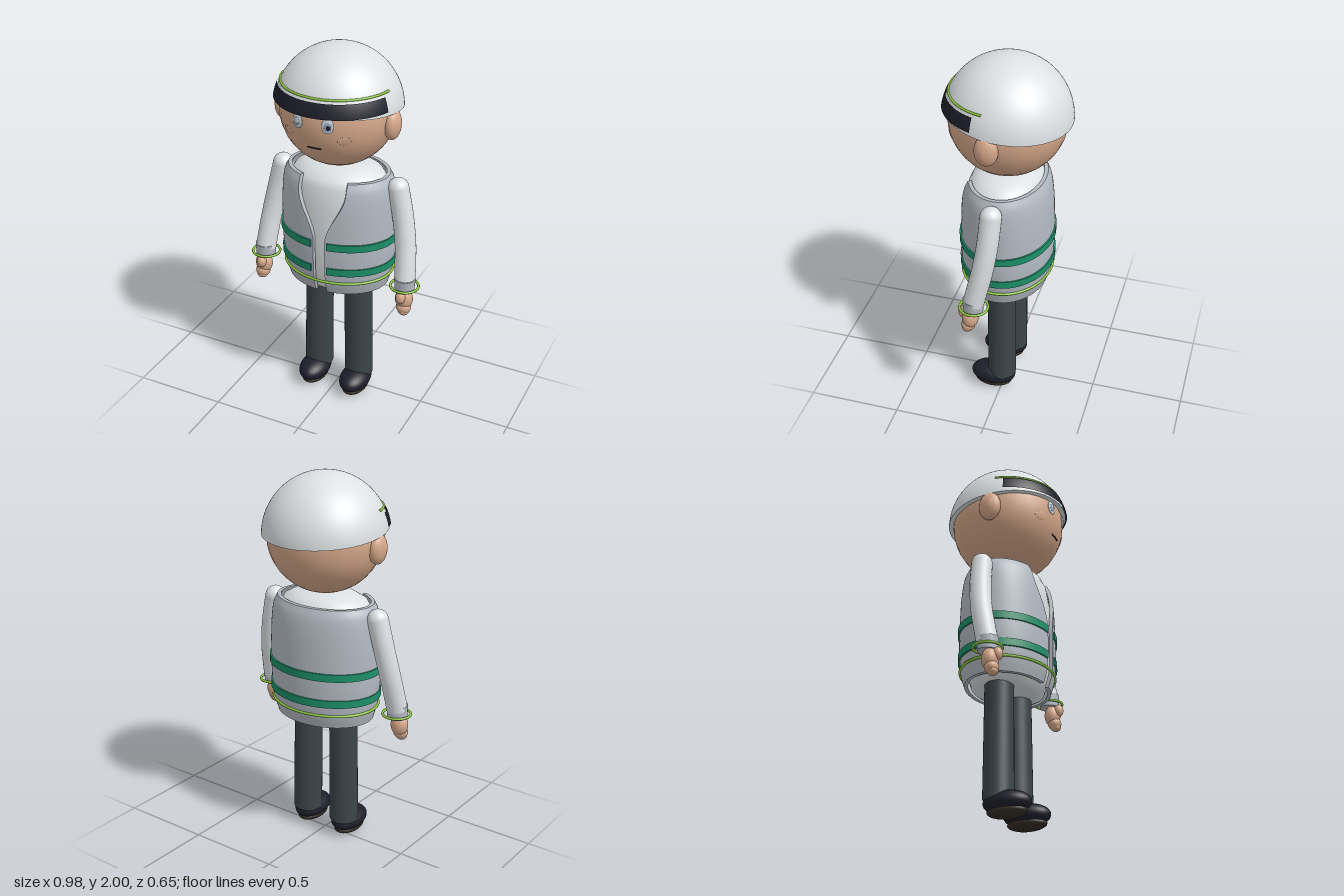
import * as THREE from 'three';
import { toCreasedNormals } from 'three/addons/utils/BufferGeometryUtils.js';

const paint = (name, color, side = THREE.FrontSide) => {
  const m = new THREE.MeshStandardMaterial({ color, side });
  m.name = name;
  return m;
};

// Open-fronted elliptical shell: rows are [rx, rz, y], gap(y) is the half width of the front opening
function shell(rows, gap, thick, steps = 64) {
  const grid = (inset) => rows.map(([rx, rz, y]) => {
    const g = Math.asin(gap(y) / rx);
    return Array.from({ length: steps + 1 }, (_, j) => {
      const t = g + (2 * Math.PI - 2 * g) * j / steps;
      return [(rx - inset) * Math.sin(t), y, (rz - inset) * Math.cos(t)];
    });
  });
  const outer = grid(0), inner = grid(thick), pos = [];
  const quad = (a, b, c, d) => pos.push(...a, ...b, ...c, ...a, ...c, ...d);
  const loop = [...outer, ...inner.reverse()];
  loop.forEach((row, i) => {
    const next = loop[(i + 1) % loop.length];
    for (let j = 0; j < steps; j++) quad(row[j], row[j + 1], next[j + 1], next[j]);
  });
  inner.reverse();
  for (let i = 0; i < rows.length - 1; i++) {
    quad(outer[i][0], outer[i + 1][0], inner[i + 1][0], inner[i][0]);
    quad(inner[i][steps], inner[i + 1][steps], outer[i + 1][steps], outer[i][steps]);
  }
  const geo = new THREE.BufferGeometry();
  geo.setAttribute('position', new THREE.Float32BufferAttribute(pos, 3));
  return toCreasedNormals(geo, 0.7);
}

export function createModel() {
  const model = new THREE.Group();
  model.name = 'worker';
  const white = paint('white', 0xdde1e3, THREE.DoubleSide);
  const grey = paint('vest grey', 0xb3bac2);
  const navy = paint('navy', 0x1f1f2c, THREE.DoubleSide);
  const skin = paint('skin', 0xd6a88a);
  const green = paint('green', 0x1c9068);
  const lime = paint('lime', 0x8cc83c);
  const slate = paint('trouser slate', 0x3c4549);
  const brown = paint('sole brown', 0x332d24);
  const eyeWhite = paint('eye white', 0xc9d3dd);
  const iris = paint('iris blue', 0x8fa3b8);

  const add = (name, geo, mat, x = 0, y = 0, z = 0, parent = model) => {
    const m = new THREE.Mesh(geo, mat);
    m.name = name;
    m.position.set(x, y, z);
    parent.add(m);
    return m;
  };
  const ball = (name, mat, x, y, z, rx, ry = rx, rz = rx) =>
    add(name, new THREE.SphereGeometry(1, 32, 20).scale(rx, ry, rz), mat, x, y, z);

  // Head and face
  const headY = 1.68, headR = 0.3;
  ball('head', skin, 0, headY, 0, headR);
  const onFace = (name, mat, x, y, lift, rx, ry, rz) => {
    const z = Math.sqrt(headR ** 2 - x ** 2 - (y - headY) ** 2);
    const out = new THREE.Vector3(x, y - headY, z).normalize();
    const p = out.clone().multiplyScalar(headR + lift);
    const m = ball(name, mat, p.x, p.y + headY, p.z, rx, ry, rz);
    m.lookAt(m.position.clone().add(out));
  };
  for (const s of [-1, 1]) {
    onFace('eye', eyeWhite, s * 0.08, 1.695, 0, 0.029, 0.038, 0.007);
    onFace('iris', iris, s * 0.081, 1.694, 0.005, 0.019, 0.023, 0.004);
    if (s > 0) onFace('pupil', navy, 0.084, 1.69, 0.008, 0.011, 0.013, 0.003);
    else onFace('eyeHighlight', eyeWhite, -0.078, 1.698, 0.008, 0.012, 0.014, 0.003);
    onFace('cheek', skin, s * 0.15, 1.617, -0.001, 0.034, 0.023, 0.003);
    ball('ear', skin, s * 0.3, 1.645, 0.025, 0.042, 0.08, 0.06);
    ball('innerEar', skin, s * 0.325, 1.645, 0.028, 0.018, 0.05, 0.034);
  }
  const mouth = new THREE.CatmullRomCurve3([-0.037, 0, 0.037].map((x) =>
    new THREE.Vector3(x, 1.56, Math.sqrt(0.0756 - x * x))));
  add('mouth', new THREE.TubeGeometry(mouth, 12, 0.004, 6), navy);

  // Helmet, tipped up at the front, with its rim, visor and piping
  const helmet = new THREE.Group();
  helmet.name = 'helmet';
  helmet.position.y = 1.675;
  model.add(helmet);
  const cap = add('helmetShell', new THREE.SphereGeometry(0.325, 64, 32, 0, Math.PI * 2, 0, 1.472),
    white, 0, 0, 0, helmet);
  cap.rotation.x = -0.1;
  add('helmetRim', new THREE.RingGeometry(0.296, 0.3235, 64).rotateX(Math.PI / 2), white, 0, 0.032, 0, cap);
  add('visor', new THREE.SphereGeometry(0.333, 48, 6, Math.PI / 2 - 1.25, 2.5, 1.152, 0.225),
    navy, 0, 0, 0, helmet);
  add('helmetPiping', new THREE.TorusGeometry(0.29, 0.006, 8, 64, 2.8)
    .rotateZ(Math.PI / 2 - 1.4).rotateX(Math.PI / 2), lime, 0, 0.15, 0, helmet);

  // Shirt body
  const shirt = [[0, 0.69], [0.17, 0.692], [0.235, 0.71], [0.27, 0.8], [0.285, 1], [0.28, 1.2],
    [0.26, 1.3], [0.235, 1.34], [0.18, 1.37], [0.1, 1.39], [0, 1.395]];
  add('shirt', new THREE.LatheGeometry(shirt.map(([r, y]) => new THREE.Vector2(r, y)), 64)
    .scale(1, 1, 0.76), white);

  // Vest with a V opening, two reflective bands and hem piping
  const vestCurve = new THREE.CatmullRomCurve3([[0.275, 0.213, 0.71], [0.293, 0.233, 0.78],
    [0.308, 0.24, 0.9], [0.311, 0.24, 1], [0.308, 0.232, 1.2], [0.296, 0.217, 1.3],
    [0.275, 0.198, 1.345]].map((p) => new THREE.Vector3(...p)));
  const vestRows = vestCurve.getPoints(28).map((p) => p.toArray());
  const opening = (y) => 0.032 + 0.1 * THREE.MathUtils.smoothstep(y, 1.02, 1.29);
  add('vest', shell(vestRows, opening, 0.02), grey);
  for (const [y, rx, rz] of [[1, 0.319, 0.248], [0.855, 0.312, 0.247]])
    add('vestBand', shell([[rx, rz, y - 0.02], [rx, rz, y + 0.02]], () => 0.045, 0.02), green);
  add('hemPiping', new THREE.TorusGeometry(1, 0.027, 8, 80).rotateX(Math.PI / 2)
    .scale(0.297, 0.27, 0.237), lime, 0, 0.785, 0);

  for (const s of [-1, 1]) {
    // Sleeve, cuff and wristband
    const arm = new THREE.CatmullRomCurve3([[0.328, 1.29, -0.004], [0.36, 1.15, 0.004],
      [0.388, 1, 0.024], [0.402, 0.88, 0.05], [0.409, 0.8, 0.068]]
      .map(([x, y, z]) => new THREE.Vector3(s * x, y, z)));
    add('sleeve', new THREE.TubeGeometry(arm, 24, 0.055, 24), white);
    ball('shoulder', white, s * 0.328, 1.29, -0.004, 0.055);
    add('cuff', new THREE.CylinderGeometry(0.055, 0.052, 0.07, 24), grey, s * 0.41, 0.787, 0.07);
    add('wristband', new THREE.TorusGeometry(0.073, 0.007, 8, 40).rotateX(Math.PI / 2),
      lime, s * 0.408, 0.772, 0.067);

    // Hand
    ball('palm', skin, s * 0.415, 0.705, 0.085, 0.047, 0.06, 0.042);
    ball('fingers', skin, s * 0.418, 0.66, 0.095, 0.04, 0.035, 0.036);
    ball('fingertips', skin, s * 0.42, 0.64, 0.1, 0.03, 0.023, 0.028);
    ball('thumb', skin, s * 0.41, 0.73, 0.122, 0.026, 0.035, 0.027);

    // Leg
    const leg = add('leg', new THREE.CylinderGeometry(0.075, 0.078, 0.63, 32), slate, s * 0.119, 0.415, 0.002);
    leg.rotation.z = s * 0.012;
    ball('ankle', slate, s * 0.123, 0.102, 0.002, 0.078, 0.03, 0.078);

    // Shoe and flat sole
    ball('shoe', navy, s * 0.125, 0.078, 0.05, 0.081, 0.06, 0.125);
    ball('sole', brown, s * 0.125, 0.033, 0.05, 0.066, 0.033, 0.105);
  }
  return model;
}
